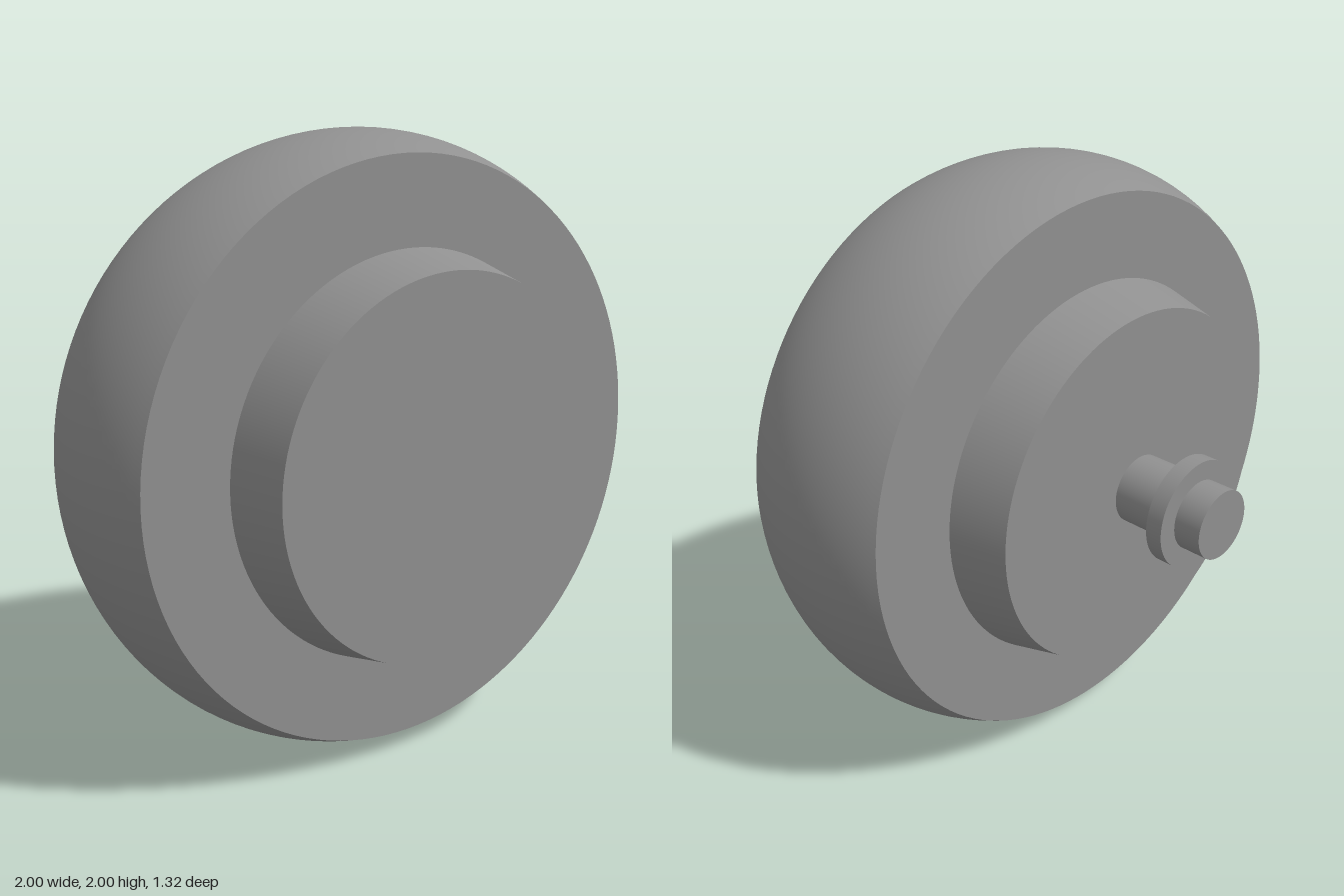
import * as THREE from 'three';

const SEGMENTS = 128;
const CENTRE_Z = 0.165; // middle of the wheel's width
const HALF_WIDTH = 0.3;
const TREAD_EDGE = 0.925;
const HUB_RADIUS = 0.65;

export function createModel() {
  const model = new THREE.Group();
  model.name = 'wheel';
  const grey = new THREE.MeshStandardMaterial({ color: 0x909090 });
  grey.name = 'plain grey';

  const add = (name, geometry, z) => {
    const mesh = new THREE.Mesh(geometry, grey);
    mesh.name = name;
    mesh.position.set(0, 1, z);
    model.add(mesh);
  };

  // Cylinder or cone along z, between two depths
  const addDrum = (name, backRadius, frontRadius, back, front) => {
    const geometry = new THREE.CylinderGeometry(frontRadius, backRadius, front - back, SEGMENTS);
    add(name, geometry.rotateX(Math.PI / 2), (back + front) / 2);
  };

  // Crowned tread: a circular arc swept round the axle
  const crown = 1 - TREAD_EDGE;
  const arcRadius = (HALF_WIDTH ** 2 + crown ** 2) / (2 * crown);
  const arcAngle = Math.asin(HALF_WIDTH / arcRadius);
  const profile = [];
  for (let i = 0; i <= 24; i++) {
    const a = arcAngle * (i / 12 - 1);
    profile.push(new THREE.Vector2(1 - arcRadius + arcRadius * Math.cos(a), arcRadius * Math.sin(a)));
  }
  add('tread', new THREE.LatheGeometry(profile, SEGMENTS).rotateX(Math.PI / 2), CENTRE_Z);

  // Flat side walls
  const wall = () => new THREE.RingGeometry(HUB_RADIUS - 0.01, TREAD_EDGE, SEGMENTS);
  add('frontWall', wall(), CENTRE_Z + HALF_WIDTH);
  add('backWall', wall().rotateY(Math.PI), CENTRE_Z - HALF_WIDTH);

  // Tapered hubs on both sides
  addDrum('frontHub', HUB_RADIUS, 0.6, CENTRE_Z + HALF_WIDTH, 0.66);
  addDrum('backHub', 0.6, HUB_RADIUS, -0.325, CENTRE_Z - HALF_WIDTH);

  // Axle stub with its collar
  addDrum('axle', 0.115, 0.115, -0.66, -0.32);
  addDrum('collar', 0.18, 0.18, -0.565, -0.507);

  return model;
}
